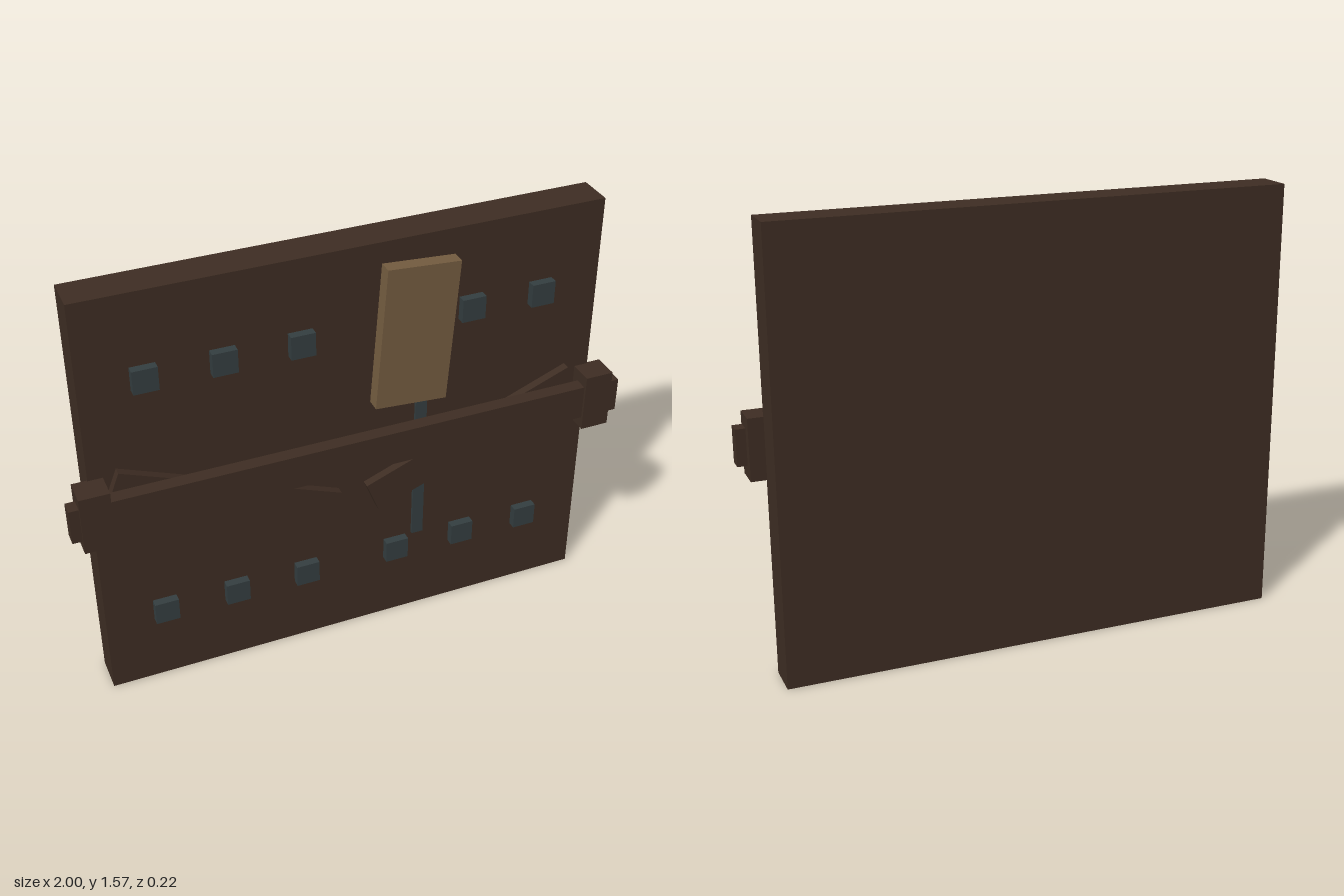
import * as THREE from 'three';

const mat = (name, color) => {
  const m = new THREE.MeshStandardMaterial({ color });
  m.name = name;
  return m;
};

export function createModel() {
  const darkWood = mat('dark wood', 0x3e2d23);
  const paleWood = mat('pale wood', 0x755d40);
  const iron = mat('iron', 0x343e40);
  const model = new THREE.Group();
  model.name = 'barredDoor';

  // Box centred on (x, y), spanning z0 to z1, turned by angle in the door plane
  const box = (name, material, x, y, w, h, z0, z1, angle = 0) => {
    const mesh = new THREE.Mesh(new THREE.BoxGeometry(w, h, z1 - z0), material);
    mesh.name = name;
    mesh.position.set(x, y, (z0 + z1) / 2);
    mesh.rotation.z = angle;
    model.add(mesh);
  };

  // Door slab and the bar across it
  box('doorSlab', darkWood, 0, 0.783, 1.826, 1.566, -0.11, 0.02);
  box('crossBar', darkWood, 0, 0.809, 2, 0.128, 0.05, 0.1);

  // Brackets holding the bar, and sloping braces behind it
  for (const side of [-1, 1]) {
    box('barBracket', darkWood, side * 0.914, 0.808, 0.104, 0.216, 0.015, 0.11);
    box('brace', darkWood, side * 0.456, 0.728, 0.828, 0.128, 0.018, 0.05, side * 0.377);
  }

  // Two rows of square studs
  for (const y of [0.306, 1.263])
    for (const x of [-0.7, -0.44, -0.177, 0.17, 0.431, 0.691])
      box('stud', iron, x, y, 0.085, 0.085, 0.015, 0.05);

  // Tilted board on an iron strap
  box('strap', iron, 0.257, 0.775, 0.043, 0.85, 0.015, 0.03);
  box('board', paleWood, 0.217, 1.22, 0.26, 0.522, 0.02, 0.07, -0.07);

  return model;
}
